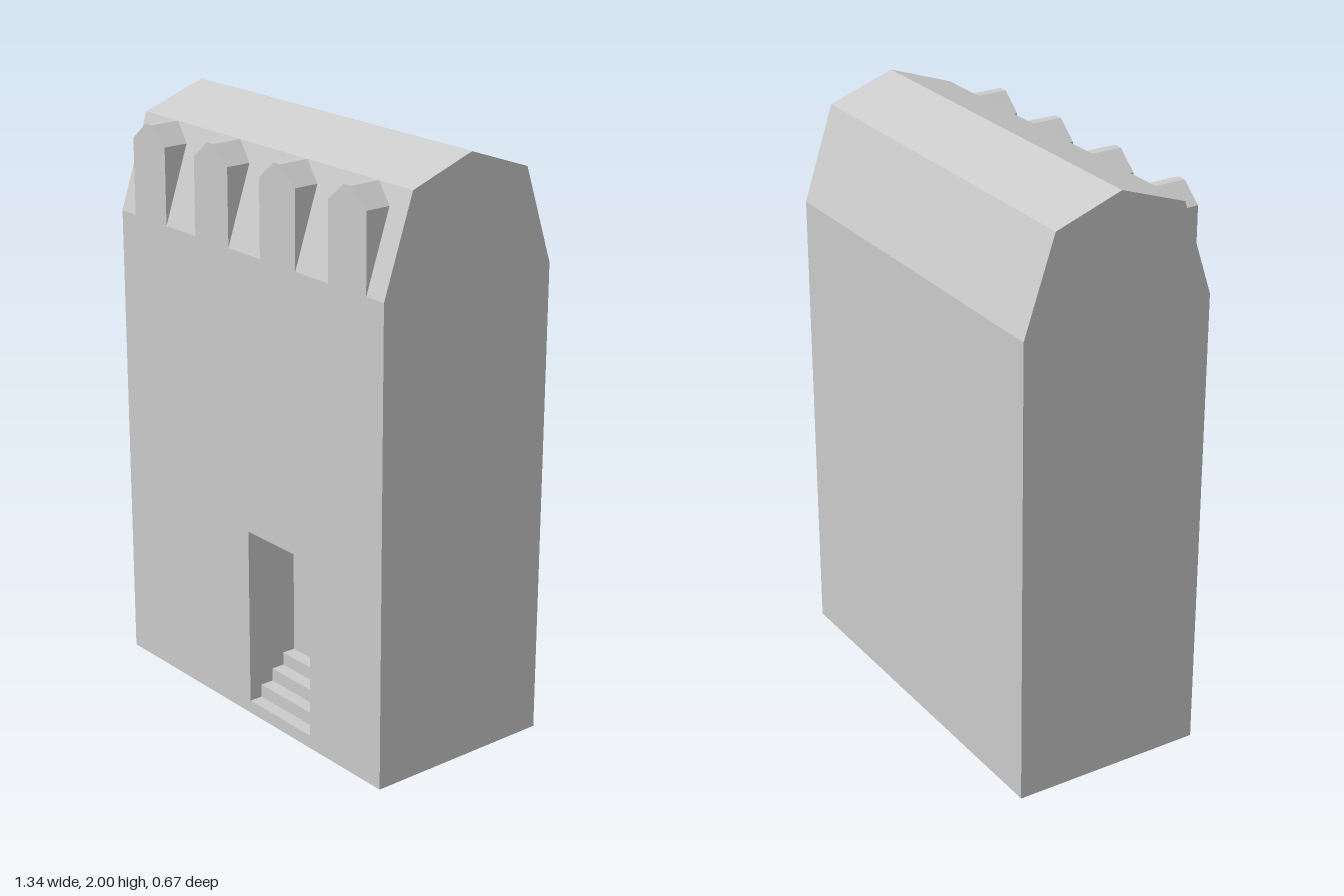
import * as THREE from 'three';

const W = 0.67, D = 0.335;              // half width, half depth
const WALL = 1.6, EAVE = 1.92, EAVE_Z = 0.228;
const DOOR = { x0: 0.003, x1: 0.322, top: 0.66, back: 0.148 };
const STEPS = 4, STEP_H = 0.045;

const material = new THREE.MeshStandardMaterial({
  color: 0xcccccc, flatShading: true, side: THREE.DoubleSide,
});

function part(name, geometry) {
  const mesh = new THREE.Mesh(geometry, material);
  mesh.name = name;
  return mesh;
}

const shapeOf = (pts) => new THREE.Shape(pts.map(([x, y]) => new THREE.Vector2(x, y)));

// Sweeps an open [z, y] profile along x, one flat strip per segment.
function sweep(profile, x0, x1) {
  const v = [];
  for (let i = 0; i < profile.length - 1; i++) {
    const [pz, py] = profile[i], [qz, qy] = profile[i + 1];
    v.push(x0, py, pz, x1, py, pz, x1, qy, qz, x0, py, pz, x1, qy, qz, x0, qy, qz);
  }
  const g = new THREE.BufferGeometry();
  g.setAttribute('position', new THREE.Float32BufferAttribute(v, 3));
  g.computeVertexNormals();
  return g;
}

// Flat [z, y] outline standing at x, facing +x or -x.
function sidePanel(pts, x, sign) {
  const g = new THREE.ShapeGeometry(shapeOf(pts.map(([z, y]) => [-sign * z, y])));
  return g.rotateY(sign * Math.PI / 2).translate(x, 0, 0);
}

// Gabled dormer: front flush with the wall, back cut along the roof slope.
function dormerGeometry() {
  const w = 0.088, t = 0.016, shoulder = 1.86;
  const outline = shapeOf([[-w, WALL], [w, WALL], [w, shoulder], [t, EAVE], [-t, EAVE], [-w, shoulder]]);
  const g = new THREE.ExtrudeGeometry(outline, { depth: 1, bevelEnabled: false });
  const p = g.attributes.position;
  for (let i = 0; i < p.count; i++) {
    const slope = D + (EAVE_Z - D) * (p.getY(i) - WALL) / (EAVE - WALL);
    p.setZ(i, p.getZ(i) > 0.5 ? D : slope);
  }
  g.computeVertexNormals();
  return g;
}

export function createModel() {
  const model = new THREE.Group();
  model.name = 'building';

  // Front wall with the doorway notched out of its lower edge
  const front = new THREE.ShapeGeometry(shapeOf([
    [-W, 0], [DOOR.x0, 0], [DOOR.x0, DOOR.top], [DOOR.x1, DOOR.top],
    [DOOR.x1, 0], [W, 0], [W, WALL], [-W, WALL],
  ])).translate(0, 0, D);
  model.add(part('frontWall', front));

  // Mansard roof, back wall and the two gable ends; the base is open
  const roof = [[D, WALL], [EAVE_Z, EAVE], [0, 2], [-EAVE_Z, EAVE], [-D, WALL]];
  model.add(part('roof', sweep(roof, -W, W)));
  model.add(part('backWall', sweep([[-D, WALL], [-D, 0]], -W, W)));
  const gable = [[D, 0], ...roof, [-D, 0]];
  model.add(part('leftGable', sidePanel(gable, W, 1)));
  model.add(part('rightGable', sidePanel(gable, -W, -1)));

  // Steps rising from the wall face to the back of the recess
  const stairs = [[D, 0]];
  const run = (D - DOOR.back) / STEPS;
  for (let i = 0; i < STEPS; i++) {
    stairs.push([D - i * run, (i + 1) * STEP_H], [D - (i + 1) * run, (i + 1) * STEP_H]);
  }
  model.add(part('stairs', sweep([[DOOR.back, 0], ...stairs], DOOR.x0, DOOR.x1)));

  // Recess: back panel and ceiling, then jambs above the steps
  const lining = [[DOOR.back, STEPS * STEP_H], [DOOR.back, DOOR.top], [D, DOOR.top]];
  model.add(part('doorRecess', sweep(lining, DOOR.x0, DOOR.x1)));
  const jamb = [...stairs.slice(1), [DOOR.back, DOOR.top], [D, DOOR.top]];
  model.add(part('rightJamb', sidePanel(jamb, DOOR.x0, 1)));
  model.add(part('leftJamb', sidePanel(jamb, DOOR.x1, -1)));

  // Row of dormers along the front slope
  const dormer = dormerGeometry();
  for (const x of [-0.505, -0.17, 0.168, 0.502]) {
    const mesh = part('dormer', dormer);
    mesh.position.x = x;
    model.add(mesh);
  }
  return model;
}
